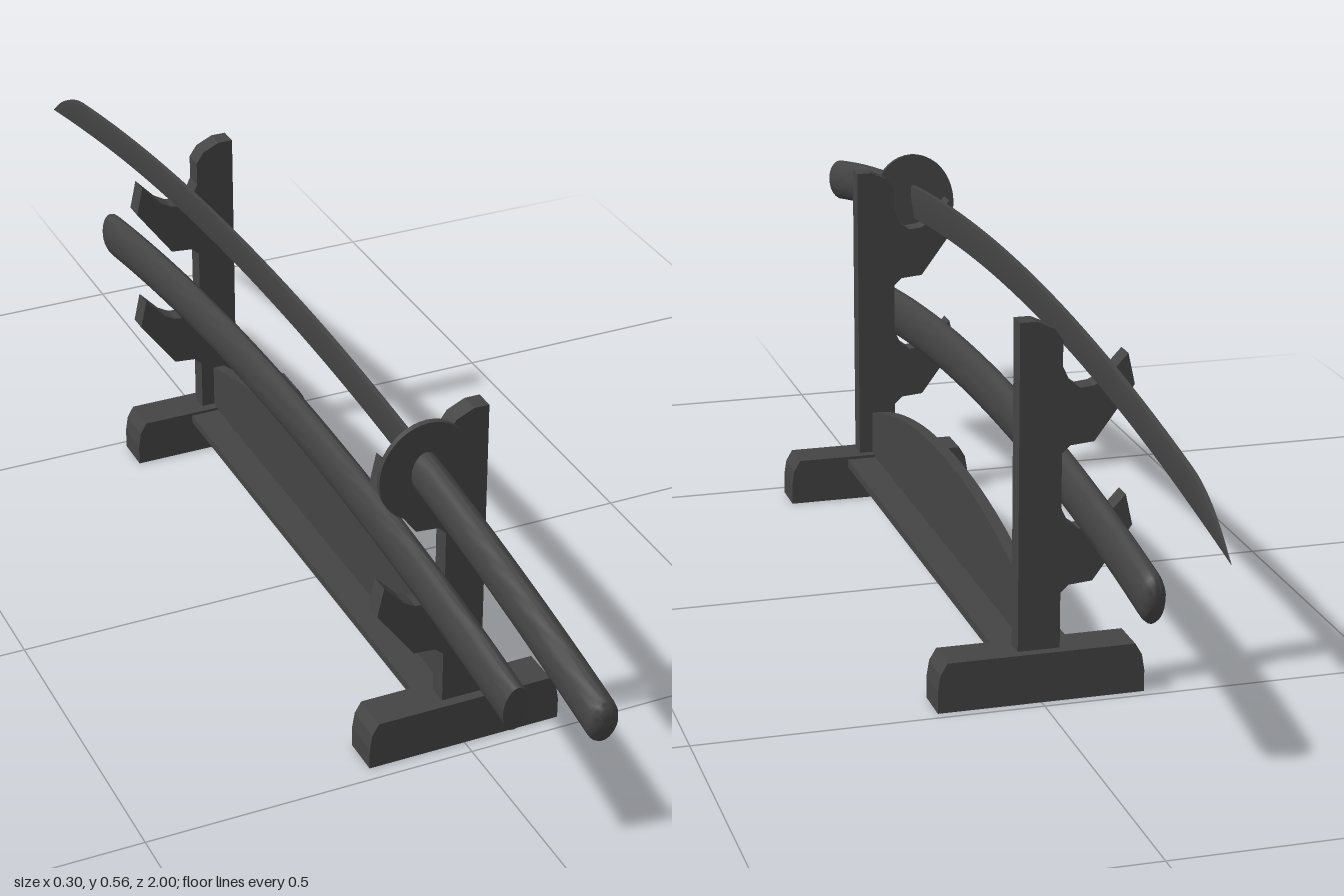
import * as THREE from 'three';
import { toCreasedNormals } from 'three/addons/utils/BufferGeometryUtils.js';

const material = new THREE.MeshStandardMaterial({ color: 0x444444 });
// Arcs: y = top - k * z^2
const BLADE = { x: -0.075, y: 0.506, k: 0.101 };
const HANDLE = { x: -0.0745, y: 0.503, k: 0.101 };
const SCABBARD = { x: -0.061, y: 0.311, k: 0.106 };

function addMesh(parent, name, geometry) {
  const mesh = new THREE.Mesh(geometry, material);
  mesh.name = name;
  parent.add(mesh);
  return mesh;
}

// Flat outline in x/y, extruded along z and centred on z = 0
function slab(points, depth) {
  const shape = new THREE.Shape(points.map(([x, y]) => new THREE.Vector2(x, y)));
  const geo = new THREE.ExtrudeGeometry(shape, { depth, bevelEnabled: false, steps: 1 });
  geo.translate(0, 0, -depth / 2);
  return geo;
}

// Oval rod from profile [radius, z], bent along an arc
function bentRod(profile, squash, arc) {
  const geo = new THREE.LatheGeometry(profile.map(([r, z]) => new THREE.Vector2(r, z)), 24);
  geo.rotateX(Math.PI / 2);
  const p = geo.attributes.position;
  for (let i = 0; i < p.count; i++) {
    const y = p.getY(i), z = p.getZ(i);
    p.setXYZ(i, arc.x + p.getX(i) * squash, arc.y - arc.k * z * z + y, z + y * 2 * arc.k * z);
  }
  return toCreasedNormals(geo, 0.8);
}

// Straight profile stations between two z values
function stations(r0, z0, r1, z1, n) {
  return Array.from({ length: n + 1 }, (_, i) => [r0 + (r1 - r0) * i / n, z0 + (z1 - z0) * i / n]);
}

// Wedge-section blade lofted along the arc, with a curved point
function bladeGeometry() {
  const rings = [], n = 40, zStart = 0.49, zTip = -1, zPoint = -0.85;
  for (let i = 0; i <= n; i++) {
    const z = i <= 28 ? zStart + (zPoint - zStart) * i / 28 : zPoint + (zTip - zPoint) * (i - 28) / 12;
    const t = Math.max(0, (zPoint - z) / (zPoint - zTip));
    const h = 0.0275 - 0.0045 * i / n;
    const bottom = BLADE.y - BLADE.k * z * z - h;
    const height = 2 * h * Math.max(0.01, 1 - Math.pow(t, 2.1));
    const w = 0.005 * Math.max(0.05, 1 - t * t);
    rings.push([[-0.7 * w, 1], [-w, 0.7], [0, 0], [w, 0.7], [0.7 * w, 1]]
      .map(([x, f]) => [BLADE.x + x, bottom + height * f, z]));
  }
  const pos = [];
  const tri = (a, b, c) => pos.push(...a, ...b, ...c);
  for (let i = 0; i < n; i++) {
    for (let j = 0; j < 5; j++) {
      const k = (j + 1) % 5;
      const a = rings[i][j], b = rings[i][k], c = rings[i + 1][k], d = rings[i + 1][j];
      tri(a, c, b);
      tri(a, d, c);
    }
  }
  for (let j = 1; j < 4; j++) {
    tri(rings[0][0], rings[0][j], rings[0][j + 1]);
    tri(rings[n][0], rings[n][j + 1], rings[n][j]);
  }
  const geo = new THREE.BufferGeometry();
  geo.setAttribute('position', new THREE.Float32BufferAttribute(pos, 3));
  return toCreasedNormals(geo, 0.3);
}

// Upright with two hooked arms, as one outline
function uprightGeometry() {
  const hook = [[-0.03, 0.154], [-0.042, 0.165], [-0.076, 0.168], [-0.133, 0.245], [-0.123, 0.29],
    [-0.093, 0.258], [-0.075, 0.248], [-0.055, 0.246], [-0.04, 0.257], [-0.03, 0.278]];
  const raised = hook.map(([x, y]) => [x, y + 0.203]);
  return slab([[0.031, 0.06], [-0.03, 0.06], ...hook, ...raised,
    [-0.03, 0.518], [-0.018, 0.535], [0.008, 0.547], [0.031, 0.547]], 0.03);
}

export function createModel() {
  const model = new THREE.Group();
  model.name = 'swordStand';

  // Stand ends
  for (const [label, z] of [['front', 0.446], ['back', -0.456]]) {
    const end = new THREE.Group();
    end.name = label + 'StandEnd';
    end.position.z = z;
    model.add(end);
    addMesh(end, label + 'Foot', slab([[-0.15, 0], [0.15, 0], [0.15, 0.032], [0.146, 0.056], [0.136, 0.073],
      [-0.136, 0.073], [-0.146, 0.056], [-0.15, 0.032]], 0.06));
    addMesh(end, label + 'Upright', uprightGeometry());
  }

  // Plank and arched board joining the ends
  const plank = addMesh(model, 'plank', new THREE.BoxGeometry(0.11, 0.013, 0.86));
  plank.position.set(0, 0.062, -0.005);
  const arch = Array.from({ length: 25 }, (_, i) => {
    const t = i / 12 - 1;
    return [0.44 * t, 0.14 + 0.067 * (1 - Math.pow(Math.abs(t), 2.1))];
  });
  const board = slab([[0.44, 0.065], [-0.44, 0.065], ...arch], 0.018);
  board.rotateY(-Math.PI / 2);
  addMesh(model, 'archedBoard', toCreasedNormals(board, 0.4)).position.z = -0.005;

  // Sword
  const sword = new THREE.Group();
  sword.name = 'sword';
  model.add(sword);
  addMesh(sword, 'blade', bladeGeometry());
  addMesh(sword, 'handle', bentRod([[0, 0.48], ...stations(0.033, 0.48, 0.034, 0.978, 14),
    [0.033, 0.986], [0.028, 0.992], [0.016, 0.996], [0, 0.997]], 0.62, HANDLE));
  const guardGeo = new THREE.CylinderGeometry(1, 1, 0.008, 40);
  guardGeo.rotateX(Math.PI / 2);
  guardGeo.scale(0.068, 0.08, 1);
  const guard = addMesh(sword, 'guard', guardGeo);
  guard.position.set(-0.0745, 0.481, 0.479);
  guard.rotation.x = Math.atan(2 * HANDLE.k * 0.479);

  // Scabbard
  addMesh(model, 'scabbard', bentRod([[0, -0.777], [0.016, -0.776], [0.027, -0.772], [0.034, -0.764],
    [0.0365, -0.754], ...stations(0.037, -0.74, 0.038, 0.738, 32), [0, 0.738]], 0.5, SCABBARD));

  return model;
}
